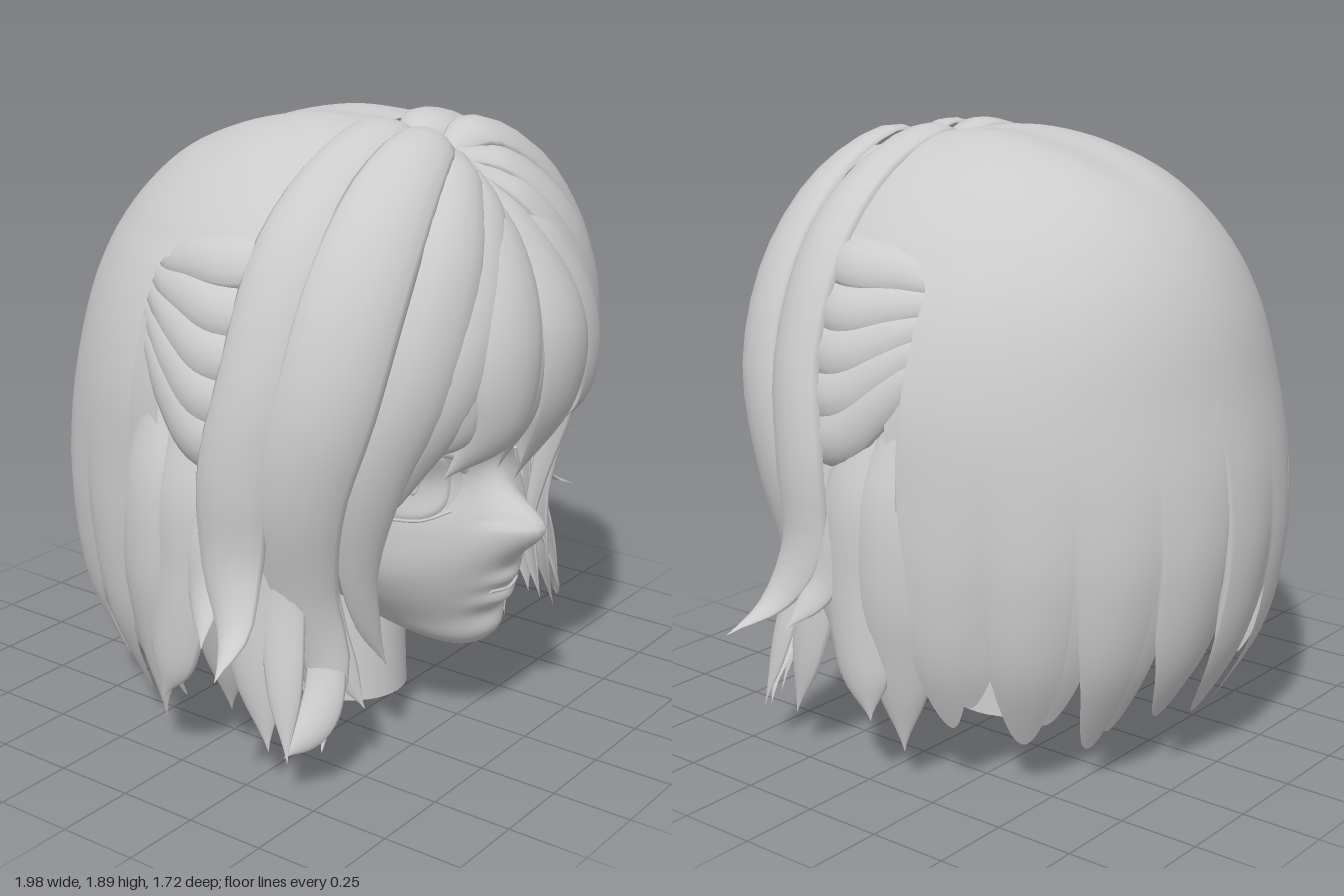
import * as THREE from 'three';

const material = new THREE.MeshStandardMaterial({ color: 0xcccccc, side: THREE.DoubleSide });
const clamp = THREE.MathUtils.clamp, smooth = THREE.MathUtils.smoothstep, lerp = THREE.MathUtils.lerp;

// Smooth interpolation through the rows of a small table, t = 0..1
function spline(rows) {
  return t => {
    const f = clamp(t, 0, 1) * (rows.length - 1), i = Math.min(Math.floor(f), rows.length - 2), s = f - i;
    const at = k => rows[clamp(k, 0, rows.length - 1)];
    return rows[0].map((_, c) => {
      const [a, b, d, e] = [at(i - 1)[c], at(i)[c], at(i + 1)[c], at(i + 2)[c]];
      return b + 0.5 * s * (d - a + s * (2 * a - 5 * b + 4 * d - e + s * (3 * (b - d) + e - a)));
    });
  };
}

// Smooth surface from fn(u, v) -> [x, y, z]; wrap closes it in u
function surface(name, nu, nv, fn, wrap = false) {
  const pos = [], idx = [], cols = wrap ? nu : nu + 1;
  for (let j = 0; j <= nv; j++) for (let i = 0; i < cols; i++) pos.push(...fn(i / nu, j / nv));
  for (let j = 0; j < nv; j++) for (let i = 0; i < nu; i++) {
    const a = j * cols + i, b = j * cols + (i + 1) % cols;
    idx.push(a, a + cols, b, b, a + cols, b + cols);
  }
  const g = new THREE.BufferGeometry();
  g.setAttribute('position', new THREE.Float32BufferAttribute(pos, 3));
  g.setIndex(idx);
  g.computeVertexNormals();
  const mesh = new THREE.Mesh(g, material);
  mesh.name = name;
  return mesh;
}

// Head sections from chin to crown: y, half width, front z, back z
const headRing = spline([
  [0.28, 0.0, 0.56, 0.54], [0.29, 0.09, 0.585, 0.46], [0.33, 0.165, 0.61, 0.3], [0.4, 0.24, 0.62, 0.12],
  [0.5, 0.34, 0.635, -0.05], [0.6, 0.42, 0.635, -0.2], [0.72, 0.46, 0.62, -0.3], [0.86, 0.49, 0.6, -0.4],
  [1.0, 0.52, 0.64, -0.45], [1.15, 0.55, 0.66, -0.5], [1.32, 0.56, 0.64, -0.5], [1.48, 0.51, 0.57, -0.45],
  [1.62, 0.38, 0.45, -0.35], [1.7, 0.2, 0.28, -0.15], [1.72, 0, 0.06, 0.06]]);
const bell = (d, s) => Math.exp(-(d * d) / (s * s));

// Nose, lips and shallow eye sockets added to the front of the face
function relief(x, y) {
  const below = y < 0.705;
  const nose = 0.1 * bell(y - 0.705, below ? 0.085 : 0.09) * bell(x, below ? 0.08 : 0.06)
    + 0.075 * bell(y - 0.67, 0.14) * bell(x, 0.2);
  const lips = (0.03 * bell(y - 0.515, 0.03) + 0.04 * bell(y - 0.45, 0.03)) * bell(x, 0.1);
  const socket = 0.015 * bell(Math.abs(x) - 0.28, 0.13) * bell(y - 0.86, 0.1);
  return nose + lips - socket + 0.02 * bell(y - 0.34, 0.05) * bell(x, 0.1);
}
function headPoint(t, a) {
  const [y, w, f, b] = headRing(t), zc = b + (f - b) * 0.45, s = Math.sin(a), c = Math.cos(a), x = w * s;
  const z = c > 0 ? zc + (f - zc) * Math.sqrt(Math.max(0, 1 - Math.abs(s) ** 2.3)) : zc + (zc - b) * c;
  return [x, y, z + (c > 0 ? relief(x, y) * smooth(c, 0, 0.4) : 0)];
}
// Depth of the face at x, y
function faceZ(x, y) {
  let lo = 0, hi = 1;
  for (let i = 0; i < 24; i++) { const m = (lo + hi) / 2; if (headRing(m)[0] < y) lo = m; else hi = m; }
  return headPoint(lo, Math.asin(clamp(x / headRing(lo)[1], -1, 1)))[2];
}
// Thin raised oval and fine line lying on the face
const oval = (name, cx, cy, rx, ry, lift) => surface(name, 40, 10, (u, v) => {
  const a = u * Math.PI * 2, x = cx + rx * v * Math.cos(a), y = cy + ry * v * Math.sin(a);
  return [x, y, faceZ(x, y) + lift * (1 - v ** 14)];
}, true);
function line(name, pts, r) {
  const c = new THREE.CatmullRomCurve3(pts.map(([x, y]) => new THREE.Vector3(x, y, faceZ(x, y) + 0.006)));
  const m = new THREE.Mesh(new THREE.TubeGeometry(c, 30, r, 6), material);
  m.name = name;
  return m;
}

// Hair sections from crown to ends: y, half width, front z, back z
const hairRing = spline([
  [1.89, 0.0, 0.05, 0.05], [1.882, 0.12, 0.21, -0.06], [1.83, 0.29, 0.46, -0.27], [1.73, 0.45, 0.56, -0.48],
  [1.57, 0.6, 0.66, -0.64], [1.38, 0.71, 0.74, -0.74], [1.15, 0.78, 0.78, -0.8], [0.9, 0.8, 0.78, -0.85],
  [0.65, 0.8, 0.76, -0.855], [0.38, 0.765, 0.68, -0.79], [0.11, 0.66, 0.55, -0.63]]);

// Back hair shell from section "top" down; below the middle it is cut into pointed locks
function hairShell(name, locks, phase, scale, edgeZ, top, notch, tip) {
  return surface(name, locks * 24, 60, (u, v) => {
    const k = u * locks + phase, id = Math.floor(k), s = Math.abs(2 * (k - id) ** 1.15 - 1);
    const end = tip - 0.04 * ((id * 7) % 3) / 2, cut = notch + 0.08 * ((id * 5) % 3) / 2;
    const slit = 0.1 * s ** 16 * (Math.round(k) % 2);
    const edge = end + (cut - end) * s ** 1.9 - slit;
    const t = v < 0.5 ? lerp(top, 0.54, v * 2) : lerp(0.54, edge, v * 2 - 1);
    const [y, w, f, b] = hairRing(t), z0 = 0.05;
    const zE = lerp(edgeZ, 0.24, smooth(y, 1.5, 1.6));
    const aMax = zE > z0 ? Math.PI - Math.acos(clamp((zE - z0) / Math.max(f - z0, 1e-4), 0, 1))
      : Math.acos(clamp((z0 - zE) / Math.max(z0 - b, 1e-4), 0, 1));
    const a = (2 * u - 1) * aMax, c = Math.cos(a);
    const bulge = scale * (1 + 0.03 * (0.4 - s * s) * smooth(t, 0.62, 0.95));
    const x = w * Math.sin(a) * bulge;
    const dip = 0.018 * bell(x, 0.1) * smooth(y, 1.6, 1.85);
    return [x, y - dip, z0 - (c > 0 ? z0 - b : f - z0) * c * bulge];
  });
}

// Tapered lock with a lens section, lying flat against the head
function strand(name, pts, half, widths = [0.35, 0.85, 1, 0.95, 0.65, 0], thick = 0.22) {
  const curve = new THREE.CatmullRomCurve3(pts.map(p => new THREE.Vector3(...p)));
  const width = spline(widths.map(w => [w]));
  return surface(name, 14, 28, (u, v) => {
    const p = curve.getPoint(v), tan = curve.getTangent(v), a = u * Math.PI * 2;
    const out = new THREE.Vector3(p.x, Math.max(0, p.y - 1), p.z - 0.08);
    const side = new THREE.Vector3().crossVectors(tan, out).normalize();
    out.crossVectors(side, tan).normalize();
    const w = half * Math.max(0, width(v)[0]), c = Math.cos(a), s = Math.sin(a);
    p.addScaledVector(side, w * c).addScaledVector(out, w * (s * (s > 0 ? thick : 0.1) - 0.22 * c * c));
    return p.toArray();
  }, true);
}

export function createModel() {
  const model = new THREE.Group();
  const group = name => { const g = new THREE.Group(); g.name = name; model.add(g); return g; };

  // Head and open neck
  model.add(surface('head', 128, 110, (u, v) => headPoint(v, u * Math.PI * 2), true));
  model.add(surface('neck', 40, 6, (u, v) => {
    const a = u * Math.PI * 2, r = 0.18 - 0.02 * v;
    return [r * Math.sin(a), 0.007 + 0.007 * Math.cos(a) * (1 - v) + 0.6 * v, 0.075 + r * 1.08 * Math.cos(a)];
  }, true));

  // Eyes, brows and mouth
  const face = group('faceDetails');
  for (const m of [1, -1]) {
    const mir = pts => pts.map(([x, y]) => [m * x, y]);
    face.add(oval('eyeWhite', m * 0.3, 0.86, 0.16, 0.1, 0.003));
    face.add(oval('iris', m * 0.287, 0.857, 0.112, 0.105, 0.012));
    face.add(oval('pupil', m * 0.287, 0.865, 0.016, 0.04, 0.019));
    face.add(line('upperLash', mir([[0.135, 0.88], [0.18, 0.935], [0.28, 0.965], [0.39, 0.945], [0.47, 0.875]]), 0.014));
    face.add(line('eyelidCrease', mir([[0.17, 0.98], [0.28, 1.01], [0.39, 0.985], [0.46, 0.93]]), 0.004));
    face.add(line('lowerLash', mir([[0.2, 0.77], [0.28, 0.752], [0.36, 0.765]]), 0.005));
    face.add(line('lashTip', mir([[0.41, 0.93], [0.45, 0.915], [0.48, 0.93]]), 0.007));
    face.add(line('brow', mir([[0.15, 1.07], [0.27, 1.1], [0.42, 1.06]]), 0.006));
  }
  face.add(line('mouth', [[-0.075, 0.487], [-0.03, 0.483], [0, 0.48], [0.03, 0.483], [0.075, 0.487]], 0.005));

  // Scalp that closes the gaps under the hair
  const scalp = new THREE.Mesh(new THREE.SphereGeometry(1, 40, 28), material);
  scalp.name = 'scalp';
  scalp.scale.set(0.63, 0.64, 0.5);
  scalp.position.set(0, 1.13, -0.15);
  model.add(scalp);

  // Back hair, outer and inner layer
  const back = group('backHair');
  back.add(hairShell('outerBackHair', 9, 0, 1, -0.15, 0, 0.8, 1));
  back.add(hairShell('innerBackHair', 9, 0.5, 0.94, -0.08, 0.52, 0.8, 0.98));

  const front = group('frontHair'), sides = group('sideHair');
  for (const m of [1, -1]) {
    const add = (to, name, pts, ...rest) => to.add(strand(name, pts.map(([x, y, z]) => [m * x, y, z]), ...rest));

    // Long bands falling from the parting; the rear one flicks outwards
    add(front, 'rearBand', [[0, 1.83, 0.3], [0.12, 1.862, 0.3], [0.38, 1.77, 0.3], [0.6, 1.57, 0.3], [0.74, 1.25, 0.29],
      [0.79, 0.95, 0.24], [0.79, 0.7, 0.23], [0.85, 0.53, 0.29], [0.99, 0.45, 0.34]], 0.12,
      [0.5, 0.85, 0.9, 1, 1, 1, 0.85, 0.45, 0]);
    add(front, 'frontBand', [[0, 1.8, 0.43], [0.12, 1.85, 0.45], [0.36, 1.74, 0.49], [0.57, 1.5, 0.51], [0.69, 1.2, 0.49],
      [0.72, 0.9, 0.41], [0.66, 0.6, 0.38], [0.6, 0.36, 0.44], [0.66, 0.13, 0.46]], 0.14,
      [0.3, 0.6, 0.9, 1.05, 1.05, 1, 0.8, 0.45, 0]);
    add(front, 'cheekBand', [[0, 1.79, 0.46], [0.13, 1.77, 0.54], [0.33, 1.58, 0.64], [0.48, 1.27, 0.65], [0.55, 0.95, 0.55],
      [0.51, 0.65, 0.48], [0.44, 0.45, 0.47], [0.36, 0.3, 0.48]], 0.12, [0.3, 0.7, 1, 1, 0.85, 0.5, 0.3, 0]);
    add(front, 'templeBang', [[0, 1.77, 0.49], [0.12, 1.68, 0.62], [0.29, 1.42, 0.72], [0.4, 1.18, 0.7], [0.47, 0.9, 0.55],
      [0.48, 0.72, 0.47]], 0.1);

    // Hair fanning forward from under the edge of the back hair
    const hairHalf = y => 0.8 - 0.52 * (y - 1) ** 2;
    for (let i = 0; i < 5; i++) {
      const y1 = 1.56 - i * 0.125, y2 = 1.52 - i * 0.065;
      add(sides, 'drawnBackLock', [[0.9, y1, 0.26], [0.95, y1 - 0.015, 0.12], [0.93, (y1 + y2) / 2, -0.02],
        [0.89, y2, -0.13], [0.8, y2 + 0.02, -0.24]].map(([k, y, z]) => [k * hairHalf(y), y, z]), 0.09, [0.9, 1, 0.9, 0.6, 0.4], 0.32);
    }
    // Loose locks hanging under the drawn back hair: x, z, tip x, tip y, tip z, half width
    for (const [x, z, tx, ty, tz, w] of [[0.74, -0.12, 0.7, 0.1, -0.1, 0.13], [0.75, 0.02, 0.78, 0.21, -0.04, 0.12],
      [0.72, 0.13, 0.63, 0.15, 0.1, 0.11], [0.69, 0.24, 0.73, 0.12, 0.32, 0.11], [0.6, 0.28, 0.47, 0.14, 0.38, 0.08],
      [0.56, 0.1, 0.36, 0.17, 0.1, 0.1], [0.66, 0.34, 0.77, 0.13, 0.42, 0.07], [0.54, 0.38, 0.5, 0.22, 0.5, 0.06]])
      add(sides, 'looseLock', [[x - 0.04, 1.1, z], [x + 0.02, 0.85, z], [x + 0.03, 0.6, z], [(x + tx) / 2 + 0.02, 0.36, (z + tz) / 2],
        [tx, ty, tz]], w, [0.6, 1, 1, 0.95, 0.7, 0]);
    // Small curled ends and flick
    add(sides, 'curledEnd', [[0.6, 0.6, 0.38], [0.6, 0.4, 0.43], [0.65, 0.27, 0.45], [0.7, 0.2, 0.44], [0.76, 0.14, 0.4]], 0.06);
    add(sides, 'smallFlick', [[0.76, 0.95, 0.1], [0.78, 0.75, 0.1], [0.8, 0.6, 0.14], [0.88, 0.47, 0.2]], 0.07);
  }

  // Bangs: middle x, tip x, tip y, tip z, half width, lift
  for (const [x, tx, ty, tz, w, lift] of [[0.05, 0.0, 0.83, 0.68, 0.13, 0.005], [-0.1, -0.11, 0.9, 0.69, 0.075, -0.02],
    [-0.21, -0.34, 0.92, 0.65, 0.125, 0.01], [0.17, 0.17, 0.91, 0.68, 0.08, -0.02], [0.25, 0.32, 0.92, 0.65, 0.1, 0.01],
    [-0.31, -0.41, 0.98, 0.6, 0.08, -0.01], [0.32, 0.41, 1.0, 0.6, 0.08, -0.01]])
    front.add(strand('bang', [[x * 0.1, 1.77, 0.49], [x * 0.55, 1.6, 0.665 + lift], [x, 1.33, 0.82 - x * x * 0.9 + lift],
      [x * 0.8 + tx * 0.25, 1.1, 0.815 - x * x * 0.9 + lift], [tx, ty, tz]], w, [0.25, 0.7, 1, 1, 0.75, 0], 0.2));

  return model;
}
